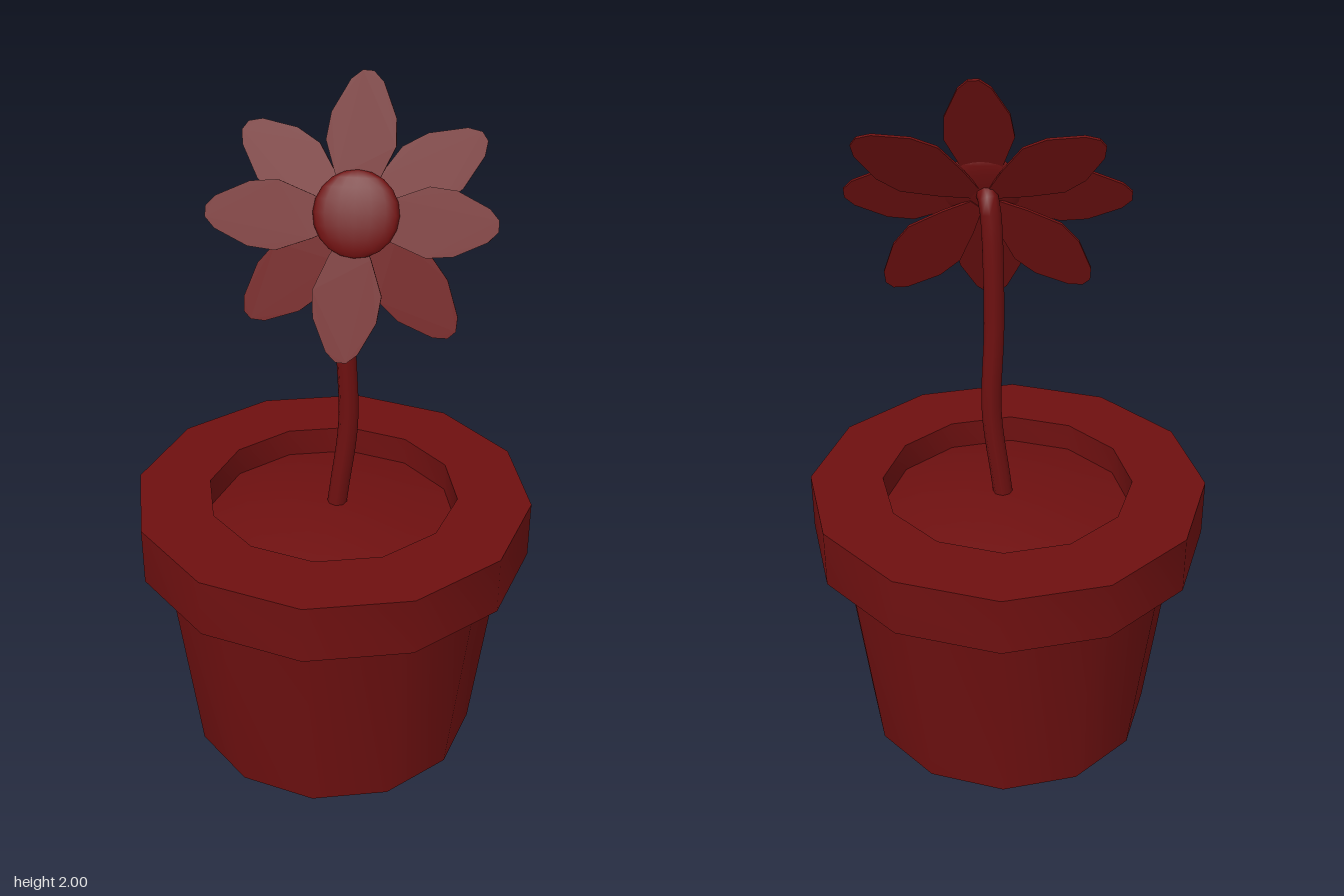
import * as THREE from 'three';
import { toCreasedNormals } from 'three/addons/utils/BufferGeometryUtils.js';

const material = new THREE.MeshStandardMaterial({ color: 0x6e1010, side: THREE.DoubleSide });

function addMesh(parent, name, geometry) {
  const mesh = new THREE.Mesh(geometry, material);
  mesh.name = name;
  parent.add(mesh);
  return mesh;
}

// Twelve-sided turned form with sharp profile corners
function turned(points) {
  const profile = points.map(([r, y]) => new THREE.Vector2(r, y));
  return toCreasedNormals(new THREE.LatheGeometry(profile, 12), 0.7);
}

// Thin pointed petal growing along +x, its tip swept back by sweep
function petalGeometry(length, sweep) {
  const half = [[0.03, 0.02], [0.1, 0.055], [0.19, 0.09], [0.26, 0.083], [0.345, 0.042], [0.37, 0.014]];
  const outline = [...half, ...half.map(([r, w]) => [r, -w]).reverse()];
  const k = length / 0.37;
  const shape = new THREE.Shape(outline.map(([r, w]) => new THREE.Vector2(r * k, w)));
  const geometry = new THREE.ExtrudeGeometry(shape, { depth: 0.008, bevelEnabled: false });
  const pos = geometry.attributes.position;
  for (let i = 0; i < pos.count; i++) {
    pos.setZ(i, pos.getZ(i) - 0.004 - sweep * pos.getX(i) / length);
  }
  geometry.computeVertexNormals();
  return geometry;
}

export function createModel() {
  const model = new THREE.Group();
  model.name = 'pottedFlower';

  // Pot with thick rim, and the domed soil inside
  addMesh(model, 'pot', turned([
    [0, 0], [0.425, 0], [0.5, 0.617], [0.57, 0.63], [0.57, 0.8], [0.36, 0.8], [0.36, 0.7],
  ]));
  addMesh(model, 'soil', turned([[0.36, 0.715], [0.25, 0.742], [0.12, 0.76], [0, 0.765]]));

  // Stem, slightly bent, curving forward into the flower
  const path = new THREE.CatmullRomCurve3([
    [0.005, 0.7, 0], [0.02, 0.82, 0], [0.044, 1.03, 0], [0.036, 1.3, 0],
    [0.042, 1.6, 0.003], [0.05, 1.655, 0.015], [0.058, 1.665, 0.045],
  ].map((p) => new THREE.Vector3(...p)));
  addMesh(model, 'stem', new THREE.TubeGeometry(path, 28, 0.028, 8));

  // Flower head tipped upward
  const flower = new THREE.Group();
  flower.name = 'flower';
  flower.position.set(0.06, 1.655, 0.05);
  flower.rotation.x = -0.38;
  model.add(flower);

  // Petals: angle in degrees and length; every second one is swept back
  const petals = [
    [87, 0.37], [35, 0.39], [0, 0.37], [-47, 0.39],
    [-92, 0.37], [-136, 0.38], [180, 0.385], [143, 0.375],
  ];
  petals.forEach(([angle, length], i) => {
    const back = i % 2 === 1;
    const petal = addMesh(flower, 'petal', petalGeometry(length, back ? 0.045 : 0));
    petal.rotation.z = THREE.MathUtils.degToRad(angle);
    petal.position.z = back ? -0.012 : 0;
  });

  // Domed centre
  const centre = addMesh(flower, 'flowerCentre', new THREE.SphereGeometry(0.112, 16, 10));
  centre.scale.z = 0.22;
  centre.position.set(0.007, 0.012, 0.006);

  return model;
}
